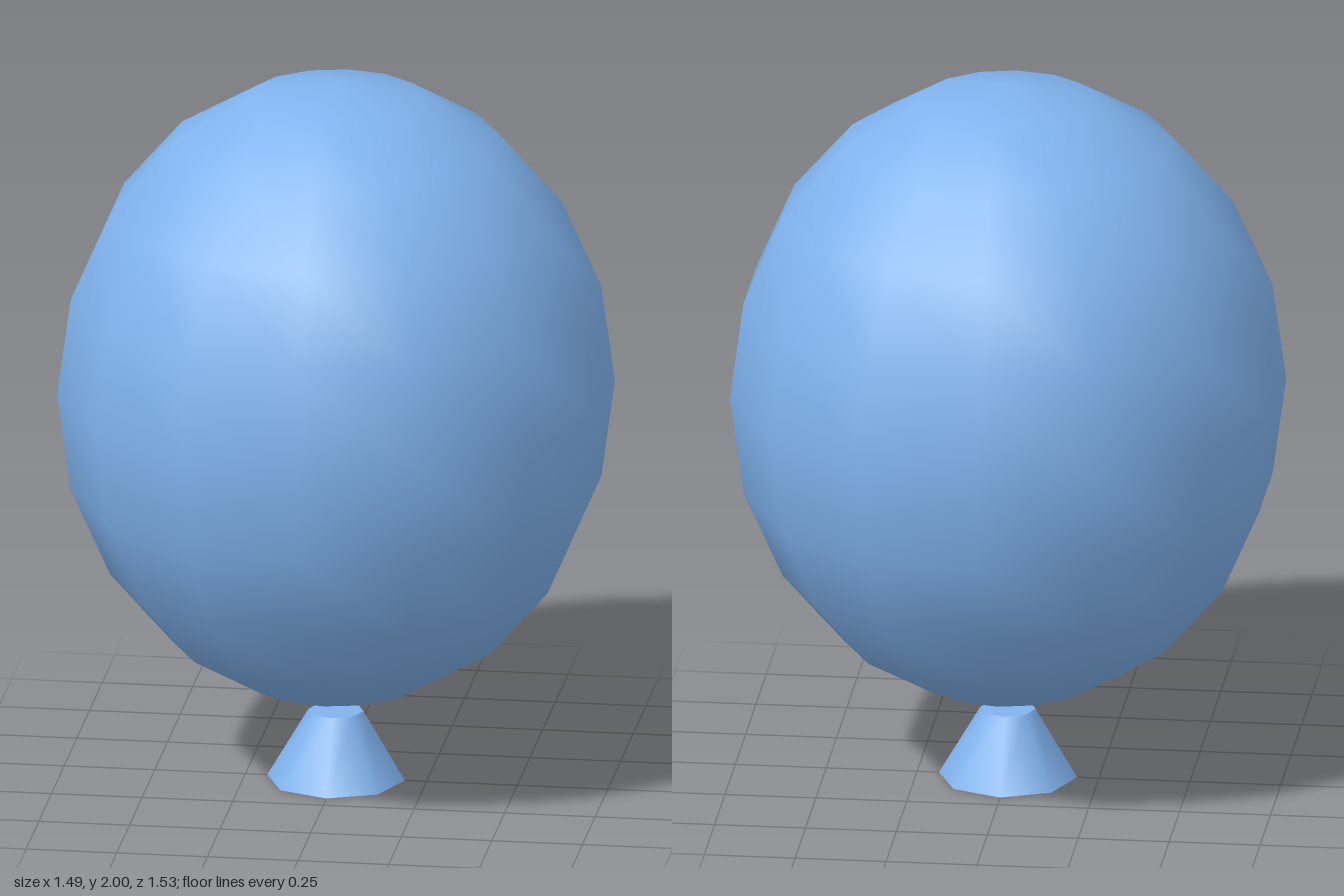
import * as THREE from 'three';

export function createModel() {
  const group = new THREE.Group();
  group.name = 'balloon';
  const material = new THREE.MeshStandardMaterial({ color: 0x80b3ee });

  // Main body: low-segment sphere stretched upward, a vertex column facing front
  const radius = 0.765, stretch = 0.882 / radius;
  const bodyGeometry = new THREE.SphereGeometry(radius, 14, 10);
  bodyGeometry.rotateY(Math.PI / 2);
  bodyGeometry.scale(1, stretch, 1);
  const body = new THREE.Mesh(bodyGeometry, material);
  body.name = 'balloonBody';
  body.position.y = 1.118;
  group.add(body);

  // Flared knot just below the body, closed at both ends
  const knotHeight = 0.194;
  const knot = new THREE.Mesh(new THREE.CylinderGeometry(0.076, 0.19, knotHeight, 8), material);
  knot.name = 'knot';
  knot.position.y = knotHeight / 2;
  group.add(knot);

  return group;
}
